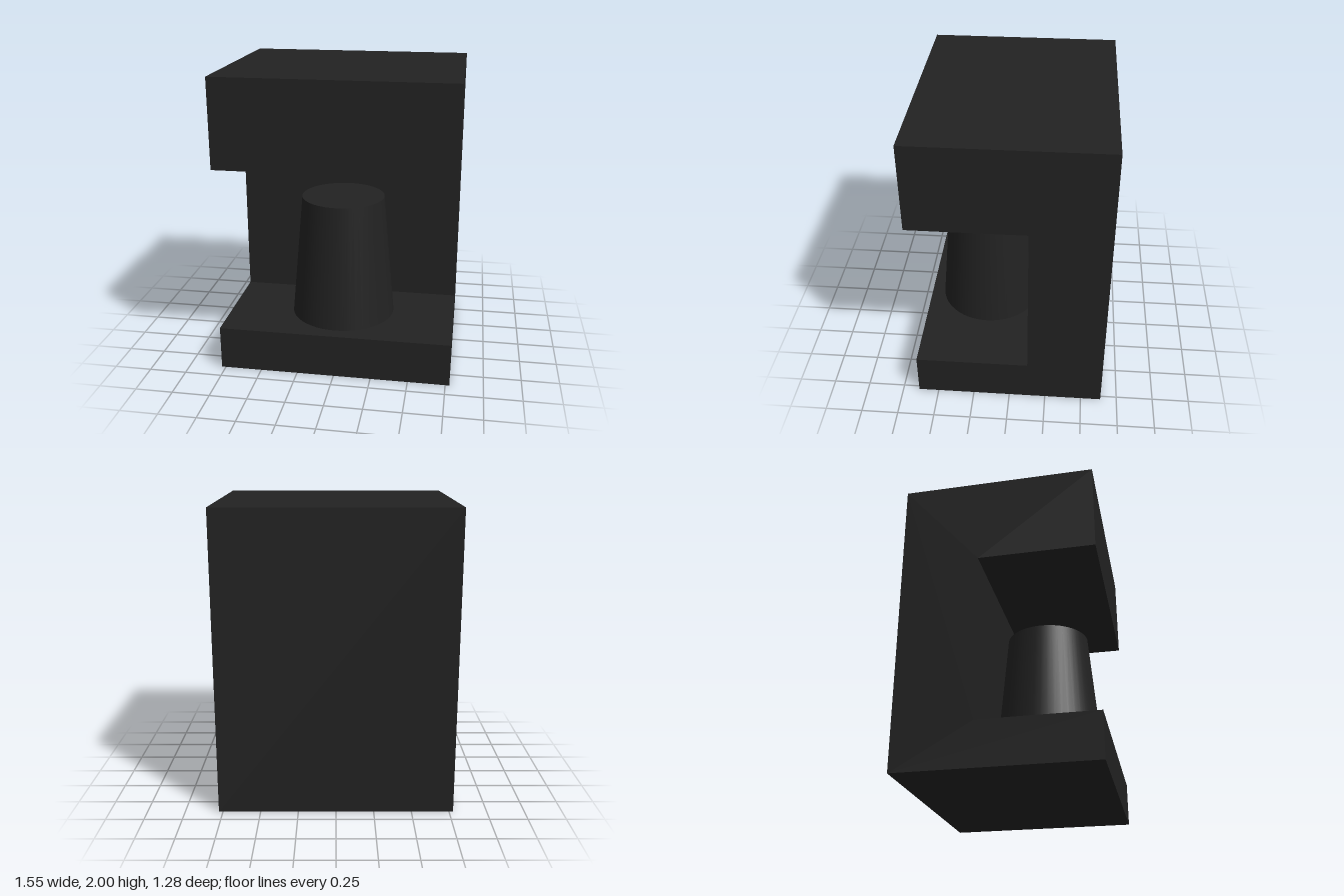
import * as THREE from 'three';

export function createModel() {
  const model = new THREE.Group();
  const charcoal = new THREE.MeshStandardMaterial({ color: 0x222222 });
  charcoal.name = 'charcoal';

  const width = 1.555, front = 0.638, back = -0.638, recess = -0.125;
  const trayTop = 0.295, headBottom = 1.41, height = 2;

  // C-shaped housing: side profile (z, y) extruded across the width
  const profile = new THREE.Shape([
    [back, 0], [front, 0], [front, trayTop], [recess, trayTop],
    [recess, headBottom], [front, headBottom], [front, height], [back, height],
  ].map(([z, y]) => new THREE.Vector2(z, y)));
  const housingGeometry = new THREE.ExtrudeGeometry(profile, { depth: width, bevelEnabled: false });
  housingGeometry.translate(0, 0, -width / 2).rotateY(-Math.PI / 2);
  const housing = new THREE.Mesh(housingGeometry, charcoal);
  housing.name = 'housing';
  model.add(housing);

  // Tapered jug standing on the tray, its rear edge set into the back wall
  const jugHeight = 0.845;
  const jug = new THREE.Mesh(new THREE.CylinderGeometry(0.28, 0.355, jugHeight, 48), charcoal);
  jug.name = 'jug';
  jug.position.set(0, trayTop + jugHeight / 2, 0.195);
  model.add(jug);

  return model;
}
